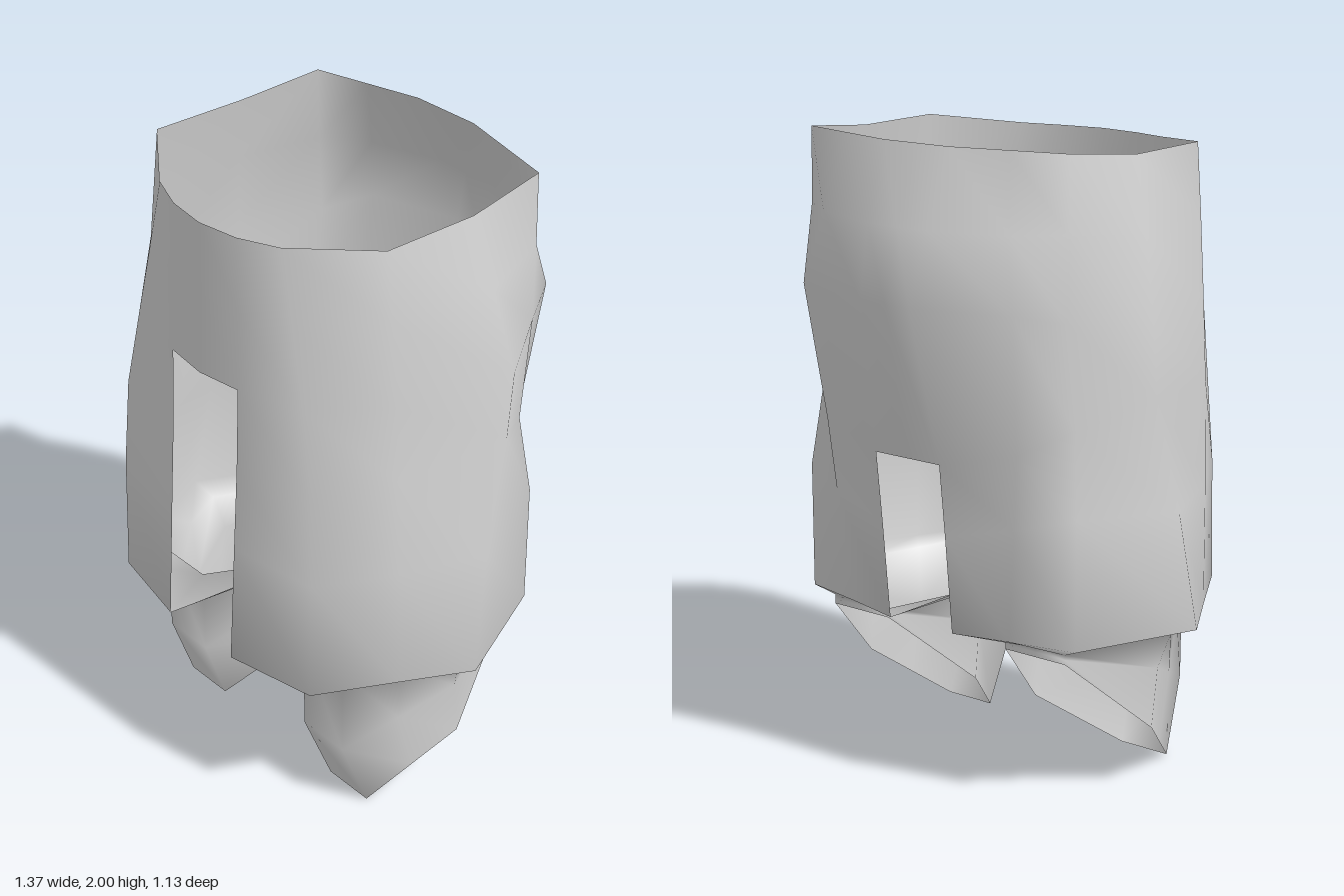
import * as THREE from 'three';

// Half rings of the trouser shell, waist to hem, each from the front slot edge round the side to the back slot edge
const SIDE = [
  [[.14, 1.941, .493], [.27, 1.944, .443], [.51, 1.97, .27], [.51, 1.97, -.05], [.48, 2, -.33], [.3, 2, -.375], [.12, 2, -.42]],
  [[.145, 1.72, .5], [.32, 1.73, .45], [.53, 1.75, .265], [.567, 1.75, -.08], [.48, 1.77, -.335], [.345, 1.77, -.435], [.11, 1.77, -.51]],
  [[.15, 1.465, .51], [.38, 1.48, .46], [.55, 1.49, .26], [.625, 1.49, -.12], [.475, 1.52, -.34], [.39, 1.555, -.48], [.09, 1.555, -.57]],
  [[.15, 1.2, .522], [.43, 1.22, .48], [.56, 1.25, .265], [.626, 1.28, -.1], [.48, 1.2, -.3], [.36, 1.13, -.42], [.12, 1.077, -.475]],
  [[.15, .93, .54], [.447, .93, .495], [.568, .93, .265], [.653, .92, -.01], [.51, .94, -.33], [.34, .9, -.405], [.12, .85, -.45]],
  [[.15, .54, .565], [.45, .54, .505], [.575, .54, .26], [.685, .54, .05], [.51, .54, -.33], [.3, .54, -.375], [.12, .54, -.42]],
];

// Corners of the lower leg rings: front inner, front outer, side, back outer, back inner, crotch
const LEG_CORNERS = [
  [[.25, .535, .36], [.43, .535, .36], [.6, .515, .04], [.45, .51, -.3], [.23, .51, -.3], [.1, .52, .02]],
  [[.25, .24, .36], [.43, .24, .36], [.567, .4, .02], [.45, .495, -.3], [.23, .495, -.3], [.12, .4, .02]],
  [[.27, 0, .27], [.443, 0, .27], [.562, .21, 0], [.45, .48, -.3], [.23, .48, -.3], [.12, .21, 0]],
];

const middle = (a, b) => a.map((v, i) => (v + b[i]) / 2);

// Extends a half ring to the centre line, bulging slightly at the front
function withCentre(ring) {
  const [, frontY, frontZ] = ring[0];
  const [, backY, backZ] = ring.at(-1);
  return [[0, frontY, frontZ + .02], ...ring, [0, backY, backZ]];
}

export function createModel() {
  const group = new THREE.Group();
  const cloth = new THREE.MeshStandardMaterial({ color: 0xd4d4d4, side: THREE.DoubleSide });
  cloth.name = 'grey cloth';

  // Vertices are shared between all parts so the shading runs smoothly over the seams
  const positions = [];
  const lookup = new Map();
  function vertex([x, y, z], side) {
    const key = [x * side + 0, y, z].join();
    if (!lookup.has(key)) {
      lookup.set(key, positions.length / 3);
      positions.push(x * side, y, z);
    }
    return lookup.get(key);
  }

  // Skins a list of rings with quads; side -1 mirrors the strip
  function skin(rings, side, closed, isOpen = () => false) {
    const faces = [];
    const n = rings[0].length;
    for (let r = 0; r < rings.length - 1; r++) {
      for (let j = 0; j < (closed ? n : n - 1); j++) {
        if (isOpen(r, j)) continue;
        const k = (j + 1) % n;
        const q = [rings[r][j], rings[r + 1][j], rings[r + 1][k], rings[r][k]].map(p => vertex(p, side));
        if (side < 0) q.reverse();
        faces.push(q[0], q[1], q[2], q[0], q[2], q[3]);
      }
    }
    return faces;
  }

  // Shell with a tall slot in the front and a short one in the back
  const shell = SIDE.map(withCentre);
  const slot = (r, j) => (j === 0 && r >= 2) || (j === 7 && r >= 3);

  // The leg starts at the hem, closed along the crotch, and ends in a slanted opening
  const leg = [
    [...SIDE.at(-1), [.09, .54, .02]],
    ...LEG_CORNERS.map(([a, b, c, d, e, f]) => [a, b, middle(b, c), c, d, middle(d, e), e, f]),
  ];

  const parts = {
    trouserShell: [...skin(shell, 1, false, slot), ...skin(shell, -1, false, slot)],
    leftLowerLeg: skin(leg, 1, true),
    rightLowerLeg: skin(leg, -1, true),
  };

  const whole = new THREE.BufferGeometry();
  whole.setAttribute('position', new THREE.Float32BufferAttribute(positions, 3));
  whole.setIndex(Object.values(parts).flat());
  whole.computeVertexNormals();

  for (const [name, faces] of Object.entries(parts)) {
    const geometry = whole.clone();
    geometry.setIndex(faces);
    const mesh = new THREE.Mesh(geometry, cloth);
    mesh.name = name;
    group.add(mesh);
  }
  return group;
}
